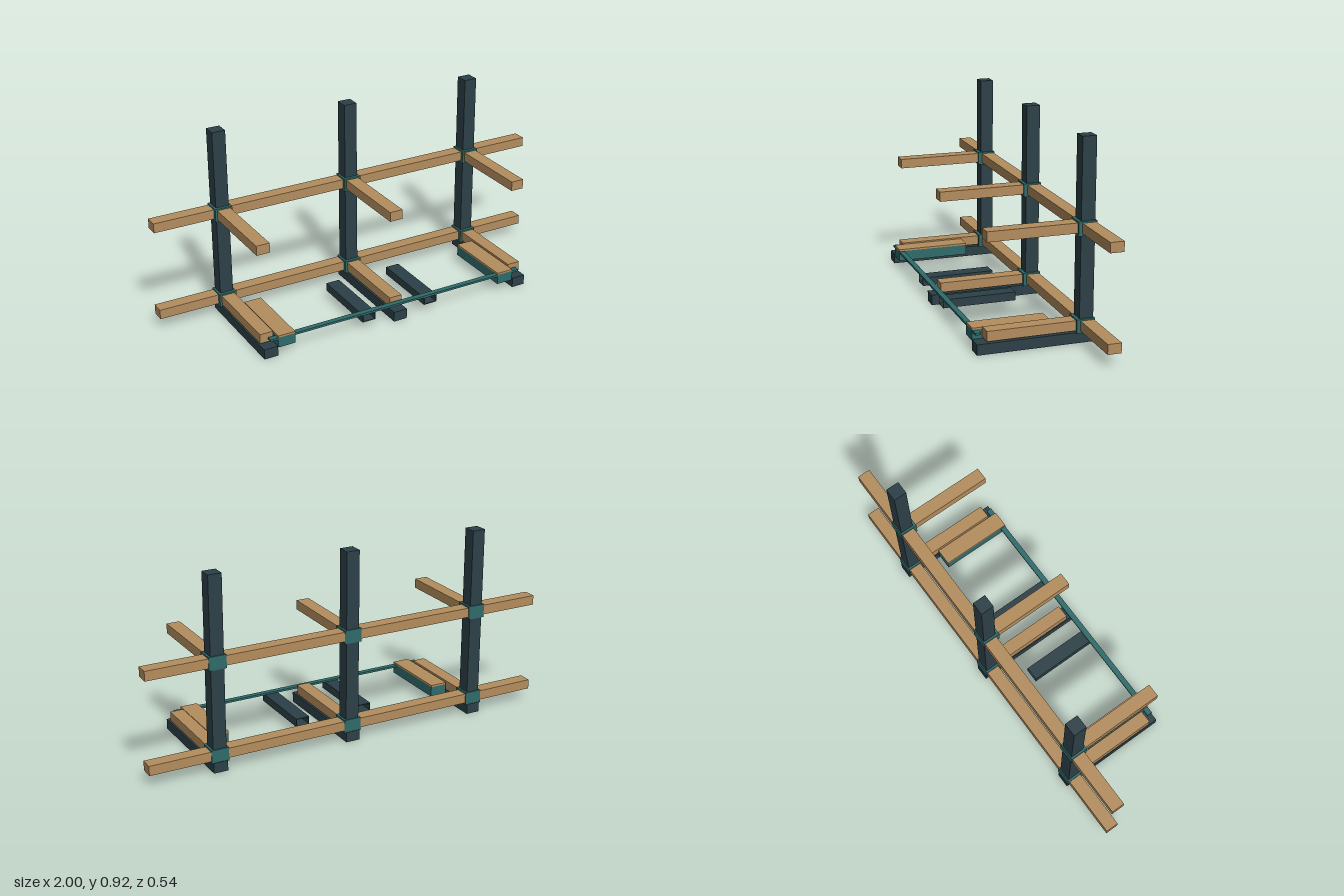
import * as THREE from 'three';

const mat = (name, color) => {
  const m = new THREE.MeshStandardMaterial({ color });
  m.name = name;
  return m;
};

export function createModel() {
  const model = new THREE.Group();
  model.name = 'storageRack';
  const steel = mat('dark steel', 0x2c4047);
  const wood = mat('tan wood', 0xb48d5e);
  const teal = mat('teal metal', 0x2f6b6b);

  // Box given by its lower and upper limits on each axis
  const box = (name, material, [x0, x1], [y0, y1], [z0, z1]) => {
    const mesh = new THREE.Mesh(new THREE.BoxGeometry(x1 - x0, y1 - y0, z1 - z0), material);
    mesh.position.set((x0 + x1) / 2, (y0 + y1) / 2, (z0 + z1) / 2);
    mesh.name = name;
    model.add(mesh);
    return mesh;
  };
  const around = (x, half) => [x - half, x + half];
  const levels = [[0.057, 0.103], [0.496, 0.542]];

  // Uprights with feet, arms and joint sleeves
  for (const x of [-0.667, 0, 0.667]) {
    box('post', steel, around(x, 0.032), [0.04, 0.916], [-0.26, -0.196]);
    box('foot', steel, around(x, 0.034), [0, 0.049], [-0.268, 0.27]);
    for (const [y0, y1] of levels) {
      box('arm', wood, around(x, 0.032), [y0, y1], [-0.2, 0.225]);
      box('jointSleeve', teal, around(x, 0.042), [y0 - 0.011, y1 + 0.007], [-0.265, -0.181]);
    }
  }

  // Long rails along the back
  for (const level of levels) box('rail', wood, [-1, 1], level, [-0.261, -0.198]);

  // Thin bar across the front
  box('frontBar', teal, [-0.667, 0.667], [0.078, 0.088], [0.24, 0.266]);

  // Open-ended square tubes between the feet
  const section = new THREE.Shape([
    new THREE.Vector2(-0.034, 0.04), new THREE.Vector2(0.034, 0.04),
    new THREE.Vector2(0.034, 0.08), new THREE.Vector2(-0.034, 0.08),
  ]);
  section.holes.push(new THREE.Path([
    new THREE.Vector2(-0.03, 0.044), new THREE.Vector2(-0.03, 0.076),
    new THREE.Vector2(0.03, 0.076), new THREE.Vector2(0.03, 0.044),
  ]));
  const tube = new THREE.ExtrudeGeometry(section, { depth: 0.35, bevelEnabled: false });
  for (const x of [-0.165, 0.165]) {
    const mesh = new THREE.Mesh(tube, steel);
    mesh.position.set(x, 0, -0.085);
    mesh.name = 'squareTube';
    model.add(mesh);
  }

  // Side trays, open underneath, each with a wooden plank on top
  for (const s of [-1, 1]) {
    const x = s * 0.587, w = 0.042, t = 0.005;
    const y = [0.04, 0.089], z = [-0.085, 0.268];
    for (const e of [-1, 1]) box('traySide', teal, around(x + e * (w - t / 2), t / 2), y, z);
    box('trayBack', teal, around(x, w - t), y, [z[0], z[0] + t]);
    box('trayFront', teal, around(x, w - t), y, [z[1] - t, z[1]]);
    box('trayTop', teal, around(x, w - t), [0.084, 0.089], [z[0] + t, z[1] - t]);
    box('plank', wood, around(x, w), [0.089, 0.098], z);
  }
  return model;
}
